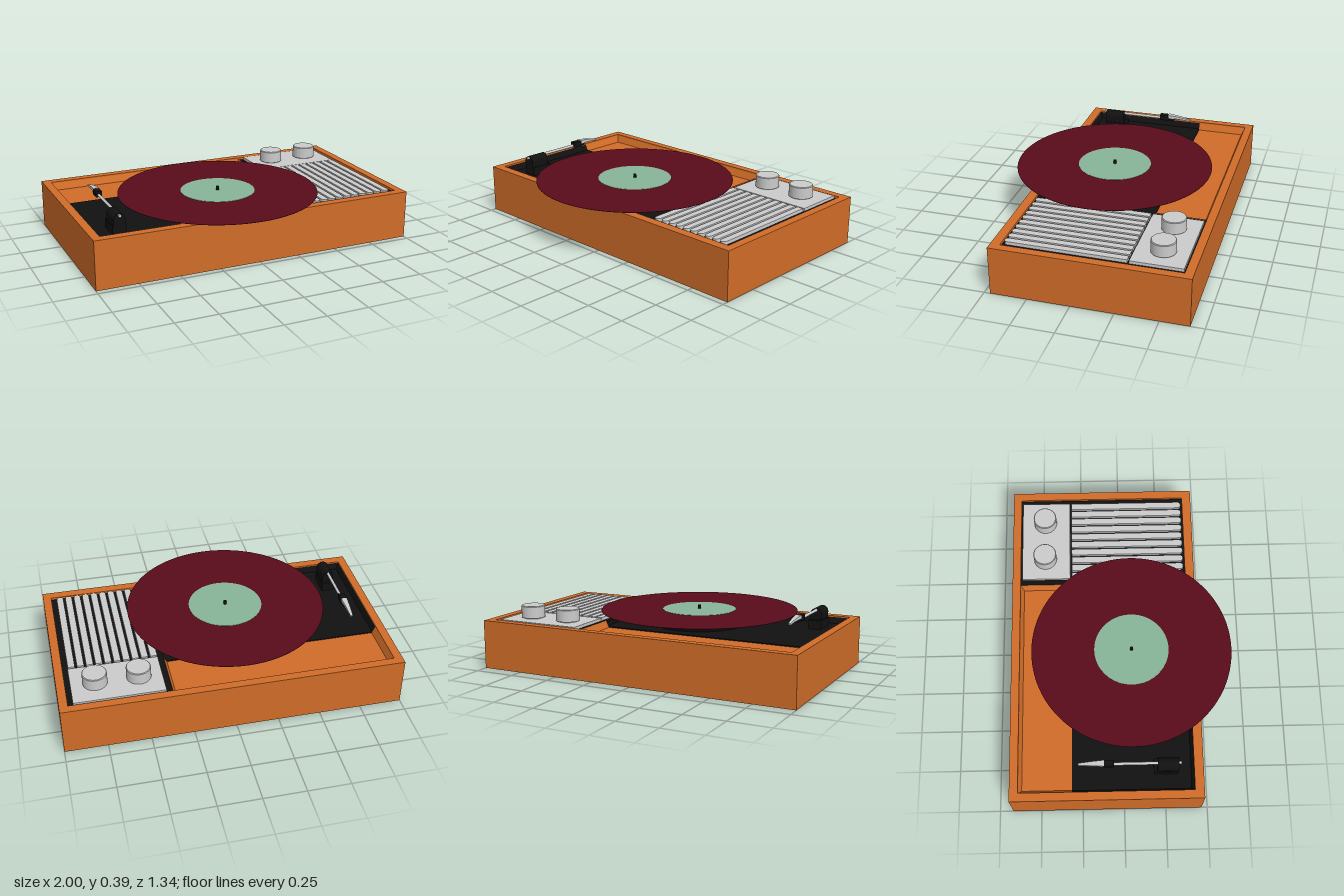
import * as THREE from 'three';

const mat = (color) => new THREE.MeshStandardMaterial({ color });

export function createModel() {
  const root = new THREE.Group();
  const wood = mat(0xcf6c28), black = mat(0x111111), grey = mat(0xcccccc);
  const maroon = mat(0x5a0c1b), green = mat(0x88b598);

  const add = (name, geo, m, x = 0, y = 0, z = 0, parent = root) => {
    const mesh = new THREE.Mesh(geo, m);
    mesh.name = name;
    mesh.position.set(x, y, z);
    parent.add(mesh);
    return mesh;
  };
  // box given by its limits
  const block = (name, m, x0, x1, y0, y1, z0, z1) =>
    add(name, new THREE.BoxGeometry(x1 - x0, y1 - y0, z1 - z0), m, (x0 + x1) / 2, (y0 + y1) / 2, (z0 + z1) / 2);
  // spun solid; each profile corner is doubled so the edges stay sharp
  const spun = (name, m, pts, x, y, z, seg = 48) => {
    const group = new THREE.Group();
    group.name = name;
    group.position.set(x, y, z);
    root.add(group);
    for (let i = 0; i + 1 < pts.length; i++) {
      const pair = [pts[i], pts[i + 1]].map(([r, h]) => new THREE.Vector2(r, h));
      add(name + 'Surface', new THREE.LatheGeometry(pair, seg), m, 0, 0, 0, group);
    }
    return group;
  };

  // Wooden case: solid lower part and a raised rim around the opening
  const floor = 0.245, rimTop = 0.295;
  block('caseBase', wood, -1, 1, 0, floor, -0.67, 0.465);
  const rect = (path, x0, x1, z0, z1) =>
    path.moveTo(x0, -z0).lineTo(x0, -z1).lineTo(x1, -z1).lineTo(x1, -z0).closePath();
  const rimShape = rect(new THREE.Shape(), -1, 1, -0.67, 0.465);
  rimShape.holes.push(rect(new THREE.Path(), -0.95, 0.95, -0.62, 0.41));
  const rimGeo = new THREE.ExtrudeGeometry(rimShape, { depth: rimTop - floor, bevelEnabled: false });
  add('caseRim', rimGeo.rotateX(-Math.PI / 2), wood, 0, floor, 0);

  // Sloped tray walls: wooden at the back, black at the front
  const slope = (name, m, x, z, length, turn) => {
    const s = new THREE.Shape().moveTo(0, 0).lineTo(0.02, 0).lineTo(0, 0.042).closePath();
    const geo = new THREE.ExtrudeGeometry(s, { depth: length, bevelEnabled: false });
    add(name, geo, m, x, floor, z).rotation.y = turn;
  };
  const split = -0.305, q = Math.PI / 2;
  slope('trayBackWall', wood, 0.36, -0.62, 1.31, -q);
  slope('trayLeftWall', wood, -0.95, -0.62, 0.315, 0);
  slope('trayRightWall', wood, 0.36, split, 0.315, 2 * q);
  slope('deckLeftWall', black, -0.95, split, 0.715, 0);
  slope('deckFrontWall', black, -0.95, 0.41, 1.31, q);
  block('deck', black, -0.95, 0.36, floor, floor + 0.006, split, 0.41);

  // Control and speaker panel
  block('speakerPanel', black, 0.36, 0.95, floor, 0.28, -0.62, 0.41);
  block('controlPlate', grey, 0.395, 0.92, 0.28, 0.298, -0.61, -0.31);
  const slat = new THREE.Shape();
  slat.moveTo(-0.02, 0.3).lineTo(-0.02, -0.38).absarc(0, -0.38, 0.02, Math.PI, 2 * Math.PI, false).lineTo(0.02, 0.3).closePath();
  const slatGeo = new THREE.ExtrudeGeometry(slat, { depth: 0.02, bevelEnabled: false }).rotateX(-q);
  for (let i = 0; i < 10; i++) add('speakerSlat', slatGeo, grey, 0.897 - i * 0.0535, 0.28, 0);
  for (const x of [0.53, 0.78]) {
    spun('knob', grey, [[0.06, 0], [0.06, 0.006], [0.071, 0.006], [0.071, 0.075], [0.067, 0.079], [0, 0.079]], x, 0.297, -0.465);
  }

  // Platter, record and spindle
  const cx = -0.095, cz = 0.06;
  spun('platter', black, [[0.29, 0], [0.31, 0.04], [0.31, 0.053], [0.29, 0.071], [0, 0.071]], cx, 0.25, cz, 64);
  spun('record', maroon, [[0, 0.328], [0.5, 0.329], [0.605, 0.334], [0.605, 0.336], [0.5, 0.336], [0, 0.336]], cx, 0, cz, 96);
  add('recordLabel', new THREE.CylinderGeometry(0.225, 0.225, 0.002, 64), green, cx, 0.3365, cz);
  add('spindle', new THREE.CylinderGeometry(0.009, 0.01, 0.05, 16), black, cx, 0.335, cz);

  // Tonearm with pivot block, tube, collar and curved head
  const ax = -0.805;
  block('pivotFoot', black, ax - 0.04, ax + 0.04, floor, 0.305, 0.175, 0.315);
  const pivot = new THREE.Shape();
  pivot.moveTo(-0.036, 0.3).lineTo(0.036, 0.3).lineTo(0.036, 0.345).absarc(0, 0.345, 0.036, 0, Math.PI, false).closePath();
  add('pivotBlock', new THREE.ExtrudeGeometry(pivot, { depth: 0.125, bevelEnabled: false, curveSegments: 16 }), black, ax, -0.006, 0.195);
  add('armTube', new THREE.CylinderGeometry(0.009, 0.009, 0.43, 16).rotateX(q), grey, ax, 0.364, 0.118);
  block('headCollar', black, ax - 0.018, ax + 0.018, 0.353, 0.388, -0.12, -0.058);
  const head = new THREE.BoxGeometry(0.036, 0.022, 0.15, 1, 1, 8);
  const p = head.attributes.position;
  for (let i = 0; i < p.count; i++) {
    const t = 0.5 - p.getZ(i) / 0.15; // 0 at the collar, 1 at the tip
    p.setX(i, p.getX(i) * (1 - 0.6 * t));
    p.setY(i, p.getY(i) * (1 - 0.55 * t) - 0.016 * t * t);
  }
  head.computeVertexNormals();
  add('armHead', head, grey, ax, 0.38, -0.19);
  block('stylus', black, ax - 0.01, ax + 0.01, 0.353, 0.37, -0.155, -0.12);

  return root;
}
